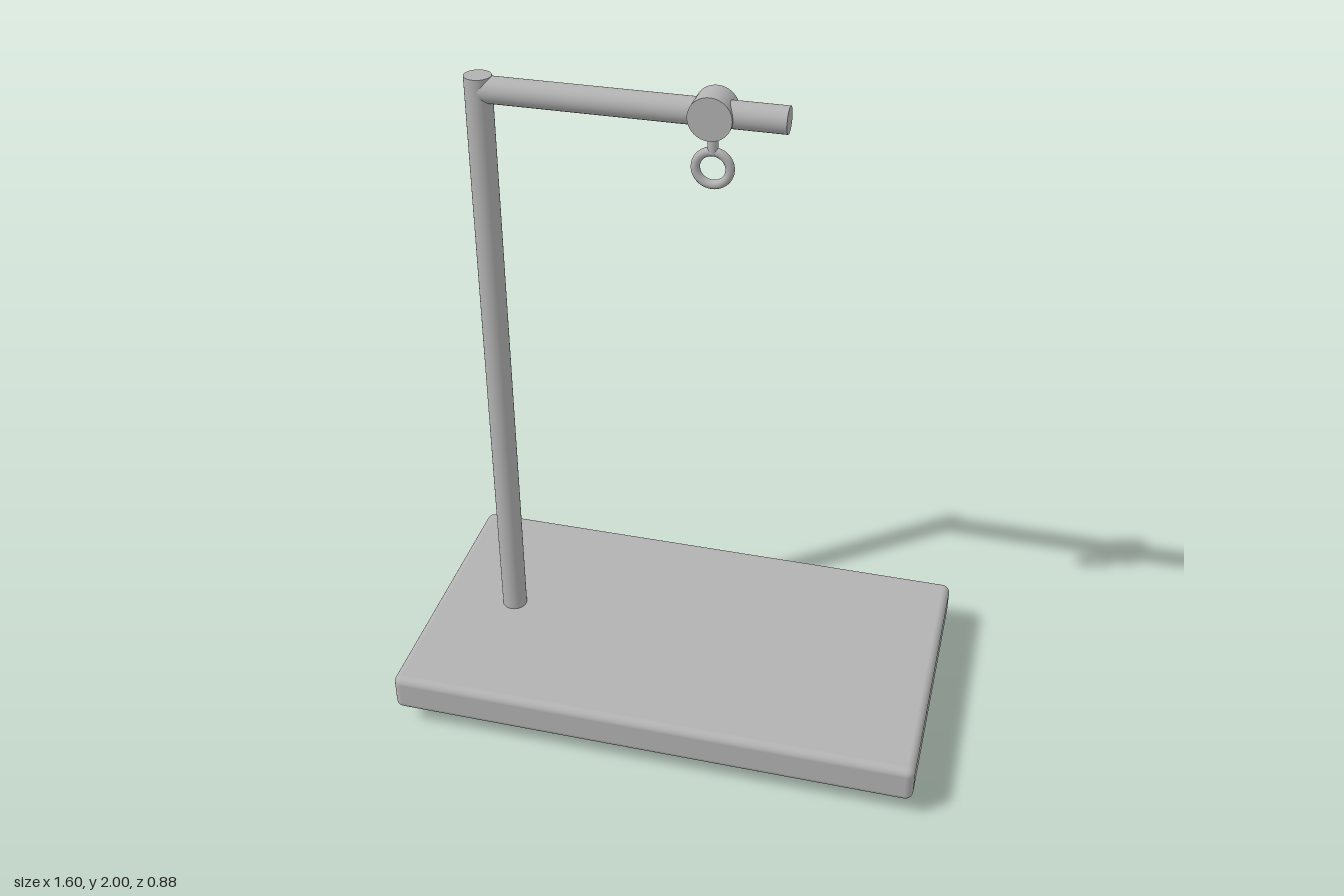
import * as THREE from 'three';
import { RoundedBoxGeometry } from 'three/addons/geometries/RoundedBoxGeometry.js';

export function createModel() {
  const model = new THREE.Group();
  model.name = 'hookStand';
  const grey = new THREE.MeshStandardMaterial({ color: 0xb2b2b2 });
  grey.name = 'grey';

  const add = (name, geometry, x, y, z) => {
    const mesh = new THREE.Mesh(geometry, grey);
    mesh.name = name;
    mesh.position.set(x, y, z);
    model.add(mesh);
    return mesh;
  };
  const rod = (radius, length, sides = 48) => new THREE.CylinderGeometry(radius, radius, length, sides);

  // Base slab with softened edges, on four round feet
  add('base', new RoundedBoxGeometry(1.6, 0.12, 0.88, 4, 0.024), 0, 0.12, 0);
  for (const x of [-0.62, 0.62]) {
    for (const z of [-0.3, 0.3]) add('foot', rod(0.06, 0.065), x, 0.0325, z);
  }

  // Upright post and horizontal arm
  const postX = -0.555, armY = 1.942, armEnd = 0.285;
  add('post', rod(0.038, 1.81), postX, 1.075, 0);
  add('arm', rod(0.037, armEnd - postX), (armEnd + postX) / 2, armY, 0).rotation.z = Math.PI / 2;

  // Sliding collar across the arm, with a stem and a hanging ring
  const hookX = 0.085;
  add('collar', rod(0.06, 0.088), hookX, 1.94, 0).rotation.x = Math.PI / 2;
  add('stem', rod(0.014, 0.07, 24), hookX, 1.865, 0);
  add('ring', new THREE.TorusGeometry(0.047, 0.0125, 16, 48), hookX, 1.786, 0);

  return model;
}
